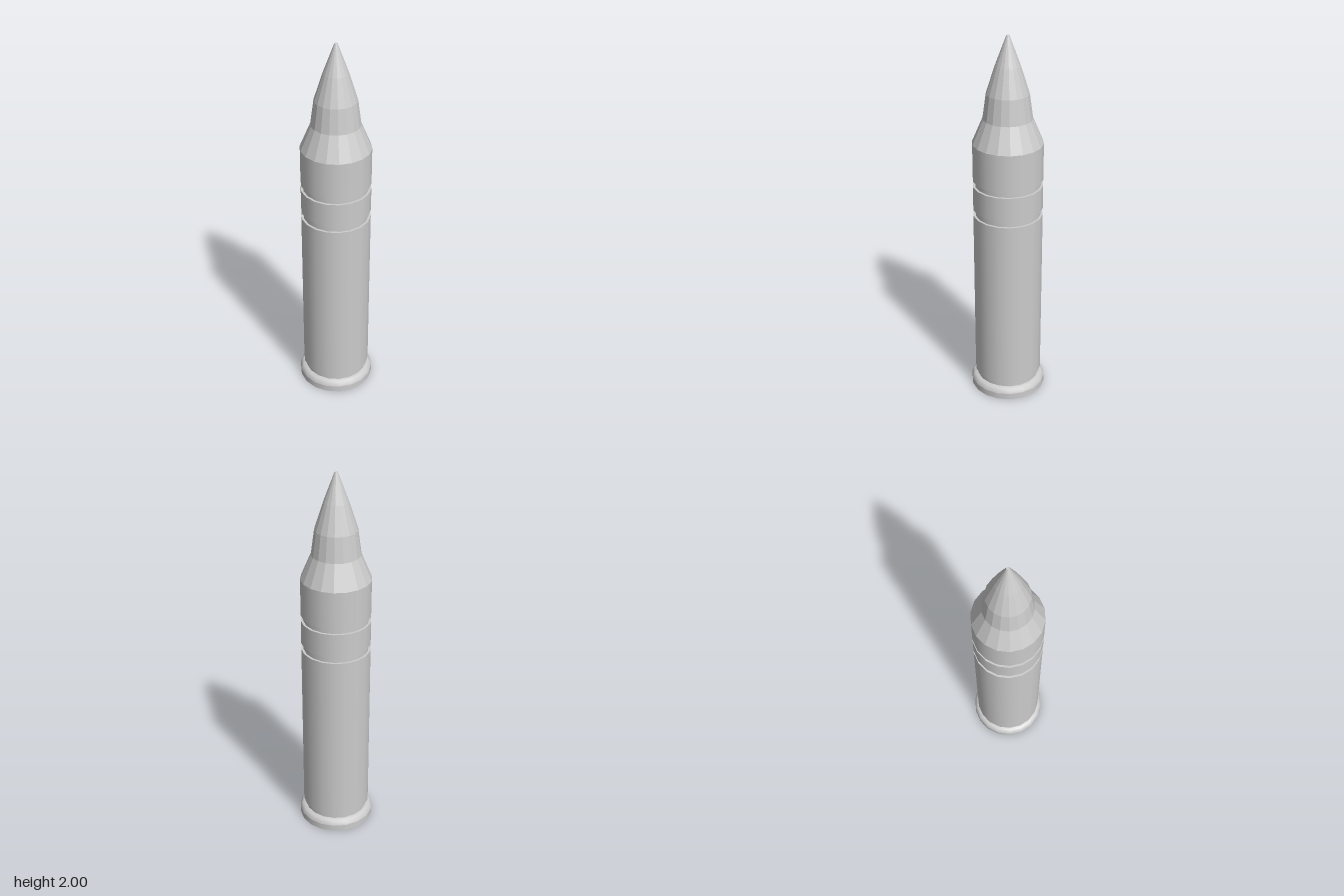
import * as THREE from 'three';

const SIDES = 18;

export function createModel() {
  const model = new THREE.Group();
  const smooth = new THREE.MeshStandardMaterial({ color: 0xcccccc });
  const faceted = new THREE.MeshStandardMaterial({ color: 0xcccccc, flatShading: true });

  // Turned part from a [radius, height] profile running bottom to top
  function turn(parent, name, profile, material) {
    const points = profile.map(([r, y]) => new THREE.Vector2(r, y));
    const geometry = new THREE.LatheGeometry(points, SIDES, Math.PI / 2);
    const mesh = new THREE.Mesh(geometry, material);
    mesh.name = name;
    parent.add(mesh);
  }

  // Base: recessed primer, flat underside and rounded rim
  const base = new THREE.Group();
  base.name = 'base';
  model.add(base);
  turn(base, 'primerAndUnderside', [[0, 0.012], [0.07, 0.012], [0.07, 0], [0.203, 0]], faceted);
  turn(base, 'rimWall', [[0.203, 0], [0.203, 0.035]], smooth);
  turn(base, 'rimRounding', [[0.203, 0.035], [0.198, 0.049], [0.188, 0.06], [0.17, 0.064]], smooth);

  // Case: straight bands separated by narrow grooves
  const body = 0.182, groove = 0.17;
  const casing = new THREE.Group();
  casing.name = 'casing';
  model.add(casing);
  const bands = [[0.095, 1.055], [1.09, 1.22], [1.25, 1.45]];
  let below = 0.064;
  bands.forEach(([bottom, top], i) => {
    if (i > 0) turn(casing, 'grooveLedge', [[body, below], [groove, below]], smooth);
    turn(casing, 'groove', [[groove, below], [groove, bottom]], smooth);
    turn(casing, 'bandLedge', [[groove, bottom], [body, bottom]], smooth);
    turn(casing, 'band', [[body, bottom], [body, top]], smooth);
    below = top;
  });

  // Faceted shoulder, neck and pointed nose with a tiny flat tip
  turn(model, 'shoulder', [[body, 1.45], [0.127, 1.58]], faceted);
  turn(model, 'neck', [[0.127, 1.58], [0.109, 1.71]], faceted);
  turn(model, 'nose', [[0.109, 1.71], [0.064, 1.85], [0.008, 2], [0, 2]], faceted);

  return model;
}
